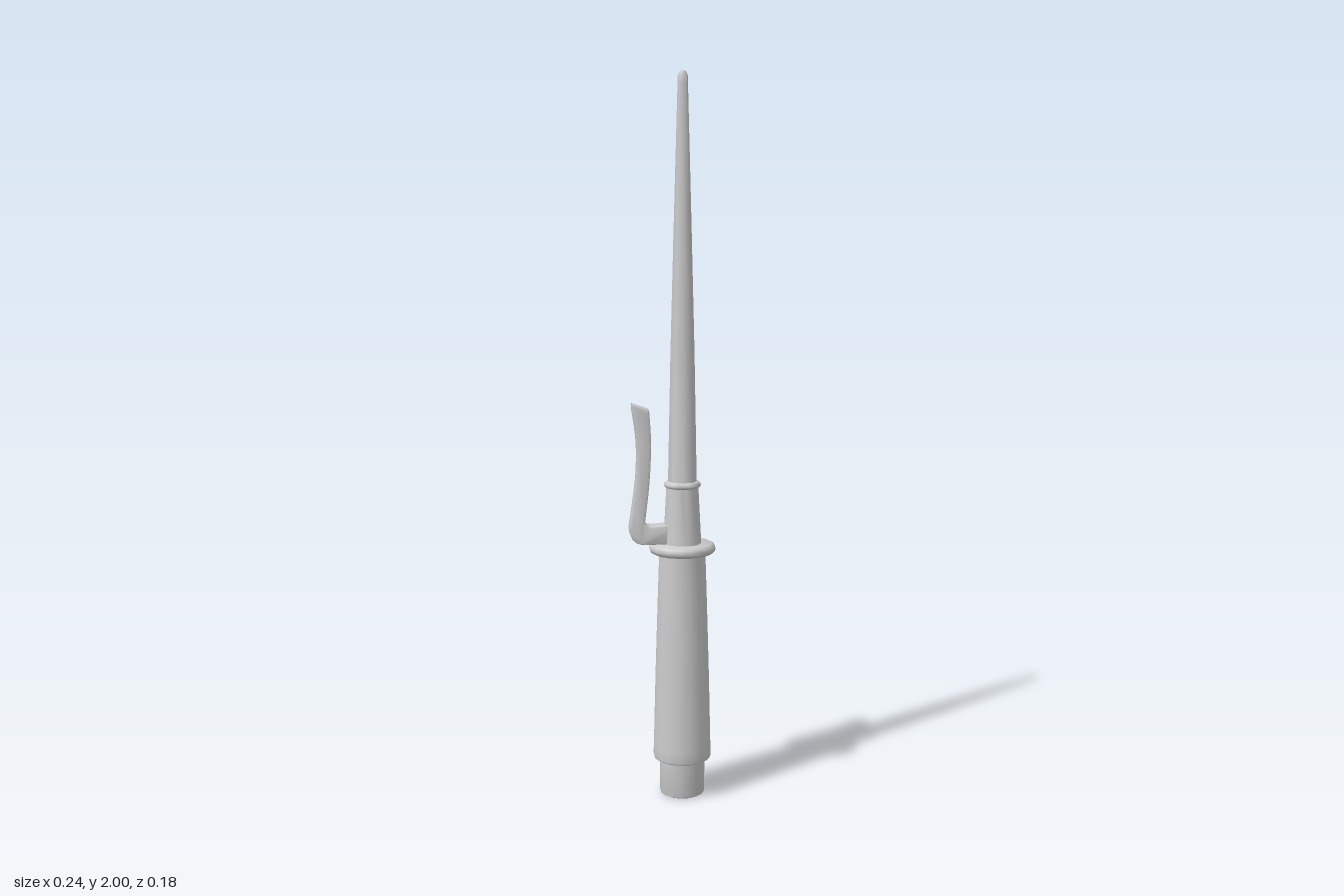
import * as THREE from 'three';
import { toCreasedNormals } from 'three/addons/utils/BufferGeometryUtils.js';

const AXIS_X = 0.028; // the prong hangs to one side, so the shaft sits off centre

const material = new THREE.MeshStandardMaterial({ color: 0xcccccc });

// Turned part from [radius, y] pairs, listed bottom to top
function turned(name, profile, sides, crease = 0.7) {
  const points = profile.map(([r, y]) => new THREE.Vector2(r, y));
  const lathe = new THREE.LatheGeometry(points, sides, sides === 8 ? 0 : Math.PI / sides);
  const mesh = new THREE.Mesh(toCreasedNormals(lathe, crease), material);
  mesh.name = name;
  mesh.position.x = AXIS_X;
  return mesh;
}

// Flat hook: a curved outline with rounded edges, extruded across z
function hookProng() {
  const bevel = 0.006, depth = 0.05;
  const v = (x, y) => new THREE.Vector2(x, y);
  const shape = new THREE.Shape();
  shape.moveTo(0.01, 0.728);
  shape.lineTo(-0.07, 0.726);
  shape.quadraticCurveTo(-0.114, 0.724, -0.114, 0.768);
  shape.splineThru([v(-0.103, 0.84), v(-0.094, 0.92), v(-0.094, 1.01), v(-0.107, 1.104)]);
  shape.lineTo(-0.071, 1.09);
  shape.splineThru([v(-0.066, 1.0), v(-0.071, 0.89), v(-0.083, 0.785)]);
  shape.quadraticCurveTo(-0.083, 0.766, -0.055, 0.766);
  shape.lineTo(0.01, 0.772);
  const geometry = new THREE.ExtrudeGeometry(shape, {
    depth: depth - 2 * bevel, bevelThickness: bevel, bevelSize: bevel,
    bevelSegments: 2, curveSegments: 5,
  });
  geometry.translate(0, 0, bevel - depth / 2);
  const mesh = new THREE.Mesh(toCreasedNormals(geometry, 0.6), material);
  mesh.name = 'hookProng';
  return mesh;
}

export function createModel() {
  const group = new THREE.Group();
  group.name = 'hookedDagger';
  group.add(
    turned('pommel', [
      [0, 0], [0.055, 0], [0.061, 0.003], [0.063, 0.01], [0.063, 0.11], [0, 0.11],
    ], 16),
    turned('grip', [
      [0, 0.102], [0.072, 0.102], [0.079, 0.106], [0.081, 0.115], [0.08, 0.14],
      [0.075, 0.35], [0.069, 0.55], [0.064, 0.7], [0, 0.7],
    ], 16),
    turned('guard', [
      [0, 0.693], [0.082, 0.693], [0.09, 0.698], [0.0925, 0.707],
      [0.09, 0.716], [0.082, 0.721], [0, 0.721],
    ], 16, 1),
    turned('collar', [[0, 0.715], [0.053, 0.715], [0.044, 0.885], [0, 0.885]], 16),
    turned('collarRing', [
      [0, 0.877], [0.045, 0.877], [0.05, 0.88], [0.051, 0.885],
      [0.05, 0.89], [0.045, 0.894], [0, 0.894],
    ], 16, 1),
    // eight-sided tapering spike with a rounded tip
    turned('blade', [
      [0, 0.88], [0.04, 0.88], [0.033, 1.25], [0.024, 1.6], [0.014, 1.965],
      [0.0135, 1.985], [0.009, 1.996], [0, 2],
    ], 8, 0.9),
    hookProng(),
  );
  return group;
}
